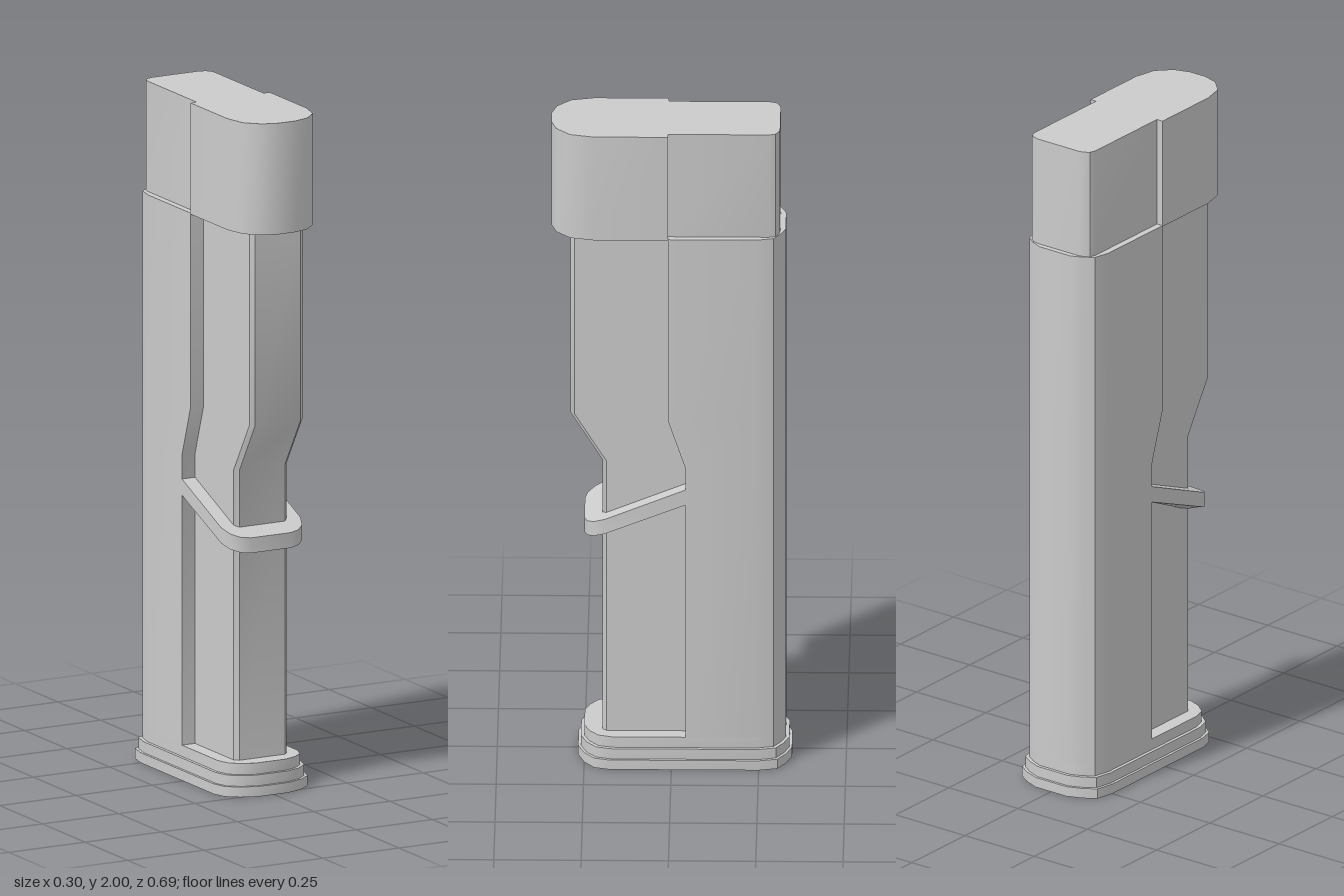
import * as THREE from 'three';
import { toCreasedNormals } from 'three/addons/utils/BufferGeometryUtils.js';

const material = new THREE.MeshStandardMaterial({ color: 0xcccccc });

// Skin a list of closed convex cross-sections and cap both ends.
function loft(name, sections) {
  const pos = [];
  const n = sections[0].length;
  const tri = (...pts) => pts.forEach((p) => pos.push(...p));
  for (let s = 0; s < sections.length - 1; s++) {
    const a = sections[s], b = sections[s + 1];
    for (let i = 0; i < n; i++) {
      const j = (i + 1) % n;
      tri(a[i], a[j], b[j]);
      tri(a[i], b[j], b[i]);
    }
  }
  const first = sections[0], last = sections[sections.length - 1];
  for (let i = 1; i < n - 1; i++) {
    tri(first[0], first[i + 1], first[i]);
    tri(last[0], last[i], last[i + 1]);
  }
  const geometry = new THREE.BufferGeometry();
  geometry.setAttribute('position', new THREE.Float32BufferAttribute(pos, 3));
  const mesh = new THREE.Mesh(toCreasedNormals(geometry, 0.65), material);
  mesh.name = name;
  return mesh;
}

// Mirror a half outline ([x, z], front to back) into a ring at height y.
function ring(half, y) {
  const right = half.map(([x, z]) => [x, y, z]);
  const left = half.map(([x, z]) => [-x, y, z]).reverse();
  return [...right, ...left];
}

const prism = (name, half, y0, y1) => loft(name, [ring(half, y0), ring(half, y1)]);

// Rounded floor plate outline; d grows it outwards.
const plate = (d) => [
  [0.05, 0.25 + d], [0.088 + d * 0.7, 0.235 + d * 0.8], [0.118 + d, 0.21 + d * 0.6], [0.13 + d, 0.17 + d * 0.4],
  [0.13 + d, -0.243 - d * 0.4], [0.118 + d, -0.293 - d * 0.6], [0.088 + d * 0.7, -0.313 - d * 0.8], [0.055, -0.327 - d],
];

export function createModel() {
  const model = new THREE.Group();

  // Stepped base
  model.add(prism('basePlate', plate(0.018), 0, 0.03));
  model.add(prism('baseMiddleStep', plate(0.01), 0.03, 0.062));
  model.add(prism('baseTopStep', plate(0), 0.062, 0.095));

  // Wide rear shell whose front edge steps back towards the bottom
  const shellLevels = [[0.095, -0.04], [0.95, -0.04], [1.1, 0.01], [1.675, 0.01]];
  model.add(loft('rearShell', shellLevels.map(([y, z]) => ring([[0.13, z], ...plate(0).slice(4)], y))));

  // Narrow front core with small corner chamfers
  const coreLevels = [[0.095, 0.198], [0.95, 0.198], [1.1, 0.29], [1.675, 0.29]];
  model.add(loft('frontCore', coreLevels.map(([y, z]) =>
    ring([[0.075, z], [0.087, z - 0.012], [0.087, -0.1]], y))));

  // Top block: wide rounded front and a narrower rear
  model.add(prism('topFrontBlock', [
    [0.028, 0.345], [0.075, 0.33], [0.115, 0.29], [0.13, 0.225], [0.13, 0.01],
  ], 1.672, 2));
  model.add(prism('topRearBlock', [
    [0.11, 0.02], [0.11, -0.28], [0.104, -0.298], [0.092, -0.306], [0.075, -0.311],
  ], 1.672, 2));

  // Sloping rib wrapped round the front core: [outer x, outer z, inner x, inner z]
  const half = [
    [0.13, -0.05, 0.08, -0.05], [0.13, 0.19, 0.08, 0.18], [0.118, 0.222, 0.078, 0.187],
    [0.095, 0.242, 0.074, 0.19], [0.065, 0.25, 0.06, 0.19],
  ];
  const path = [...half, ...half.map(([a, b, c, d]) => [-a, b, -c, d]).reverse()];
  const top = (z) => 0.88 - 0.41 * (z + 0.04);
  model.add(loft('frontRib', path.map(([ox, oz, ix, iz]) => [
    [ox, 0.832 - 0.4 * (oz + 0.04), oz],
    [ox, top(oz), oz],
    [ix, top(iz), iz],
    [ix, 0.832 - 0.49 * (iz + 0.04), iz],
  ])));

  return model;
}
